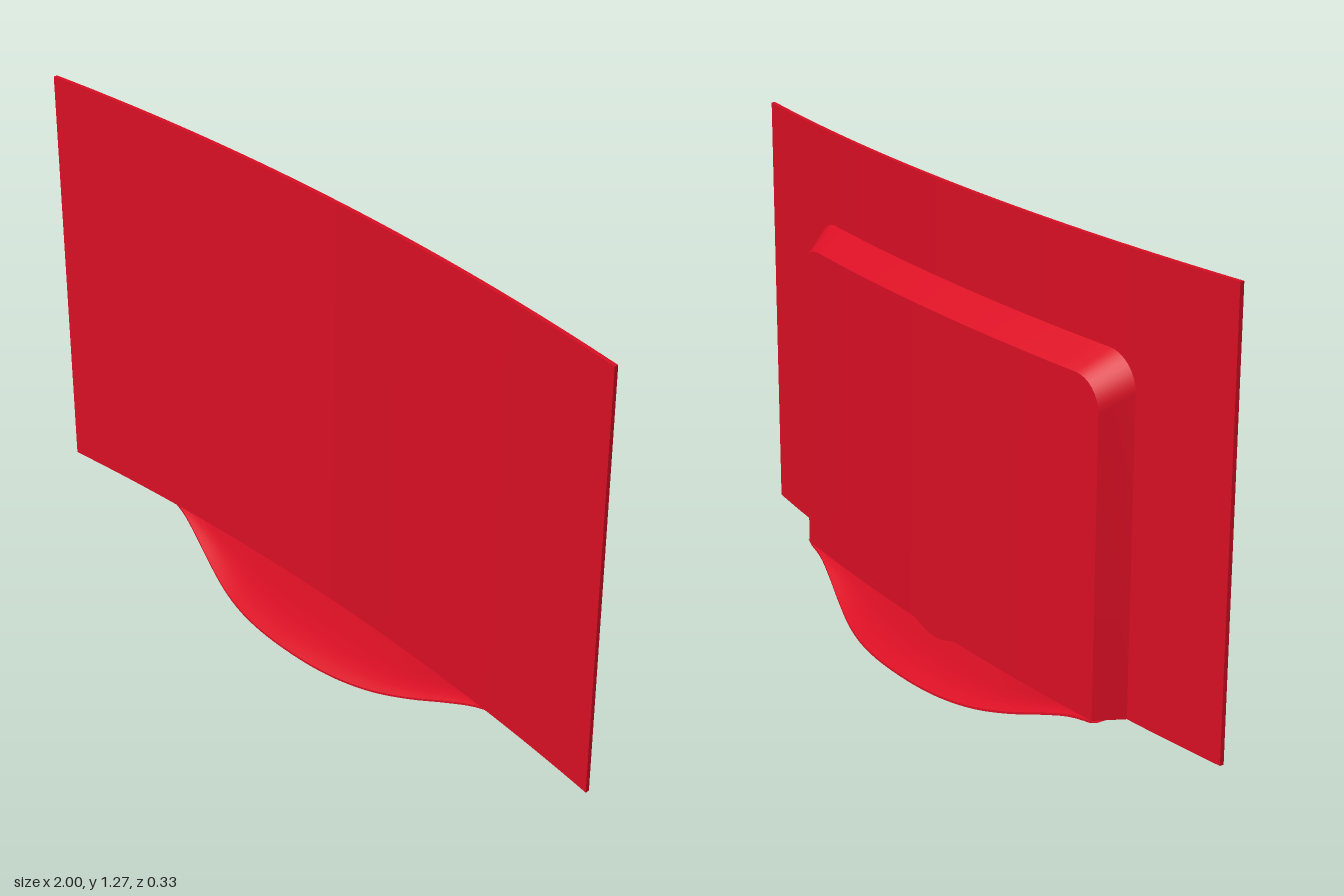
import * as THREE from 'three';
import { toCreasedNormals } from 'three/addons/utils/BufferGeometryUtils.js';

const SAG = 0.067;                       // how far the screen ends curve forward
const BOTTOM = 0.105, TOP = 1.27;        // panel height range
const bend = (x) => SAG * x * x;

// Surface through rows of points; faces along (column direction) x (row direction).
function grid(rows, crease = 0.6) {
  const n = rows[0].length, pos = [], index = [];
  rows.forEach((row) => row.forEach((p) => pos.push(...p)));
  for (let r = 0; r < rows.length - 1; r++) {
    for (let i = 0; i < n - 1; i++) {
      const a = r * n + i, b = a + 1, c = b + n, d = a + n;
      index.push(a, b, c, a, c, d);
    }
  }
  const g = new THREE.BufferGeometry();
  g.setAttribute('position', new THREE.Float32BufferAttribute(pos, 3));
  g.setIndex(index);
  return toCreasedNormals(g, crease);
}

// Outline with rounded top corners and square bottom corners, left to right.
function outline(w, top, radius, z) {
  const pts = [[-w, BOTTOM]];
  for (let i = 0; i <= 8; i++) {
    const a = (i / 8) * Math.PI / 2;
    pts.push([-w + radius * (1 - Math.cos(a)), top - radius * (1 - Math.sin(a))]);
  }
  const inner = w - radius;
  for (let i = 1; i < 20; i++) pts.push([-inner + (2 * inner * i) / 20, top]);
  for (let i = 8; i >= 0; i--) {
    const a = (i / 8) * Math.PI / 2;
    pts.push([w - radius * (1 - Math.cos(a)), top - radius * (1 - Math.sin(a))]);
  }
  pts.push([w, BOTTOM]);
  return pts.map(([x, y]) => [x, y, z + bend(x)]);
}

export function createModel() {
  const group = new THREE.Group();
  const red = new THREE.MeshStandardMaterial({ color: 0xd90f24 });
  const add = (name, geometry, parent = group) => {
    const mesh = new THREE.Mesh(geometry, red);
    mesh.name = name;
    parent.add(mesh);
    return mesh;
  };

  // Thin curved screen
  const screen = new THREE.BoxGeometry(2, TOP - BOTTOM, 0.011, 40, 1, 1);
  screen.translate(0, (TOP + BOTTOM) / 2, 0.0175);
  const p = screen.attributes.position;
  for (let i = 0; i < p.count; i++) p.setZ(i, p.getZ(i) + bend(p.getX(i)));
  screen.computeVertexNormals();
  add('screen', screen);

  // Rear housing: tapered walls, curved back and floor
  const housing = new THREE.Group();
  housing.name = 'rearHousing';
  group.add(housing);
  const front = outline(0.695, 1.02, 0.09, 0.013);
  const back = outline(0.655, 0.965, 0.08, -0.06);
  const floor = (pts) => pts.map(([x, , z]) => [x, BOTTOM, z]);
  add('housingWalls', grid([front, back]), housing);
  add('housingBack', grid([back, floor(back)]), housing);
  add('housingFloor', grid([floor(back), floor(front)]), housing);

  // Saddle-shaped foot: stations of x, ridge height, half depth, drop at the rim
  const half = [
    [0, 0.035, 0.167, 0.028], [0.1, 0.035, 0.163, 0.028], [0.2, 0.036, 0.15, 0.026],
    [0.3, 0.043, 0.126, 0.024], [0.4, 0.062, 0.095, 0.022], [0.5, 0.086, 0.064, 0.015],
    [0.58, 0.1, 0.042, 0.007], [0.67, 0.1045, 0.026, 0],
  ];
  const stations = [...half.slice(1).reverse().map(([x, ...r]) => [-x, ...r]), ...half];
  const ridge = new THREE.CatmullRomCurve3(stations.map((s) => new THREE.Vector3(s[0], s[1], 0)));
  const rim = new THREE.CatmullRomCurve3(stations.map((s) => new THREE.Vector3(s[0], s[3], s[2])));
  const rows = [];
  const STEPS = 56, ACROSS = 16;
  for (let i = 0; i <= STEPS; i++) {
    const a = ridge.getPoint(i / STEPS), b = rim.getPoint(i / STEPS);
    const thick = i === 0 || i === STEPS ? 0 : 0.006;
    const point = (j, lower) => {
      const t = (j / ACROSS) * 2 - 1;
      return [a.x, a.y - b.y * Math.abs(t) ** 3 - lower, t * b.z];
    };
    const row = [];
    for (let j = 0; j <= ACROSS; j++) row.push(point(j, 0));
    for (let j = ACROSS; j >= 0; j--) row.push(point(j, thick));
    row.push(point(0, 0));
    rows.push(row);
  }
  add('foot', grid(rows));

  // Small bell-shaped bulge under the middle of the housing
  const bulge = new THREE.Shape();
  bulge.moveTo(-0.17, BOTTOM);
  bulge.bezierCurveTo(-0.07, BOTTOM - 0.002, -0.06, 0.076, 0, 0.076);
  bulge.bezierCurveTo(0.06, 0.076, 0.07, BOTTOM - 0.002, 0.17, BOTTOM);
  const bulgeGeometry = new THREE.ExtrudeGeometry(bulge, { depth: 0.04, bevelEnabled: false, curveSegments: 12 });
  bulgeGeometry.translate(0, 0, -0.05);
  add('underBulge', toCreasedNormals(bulgeGeometry, 0.6));

  return group;
}
